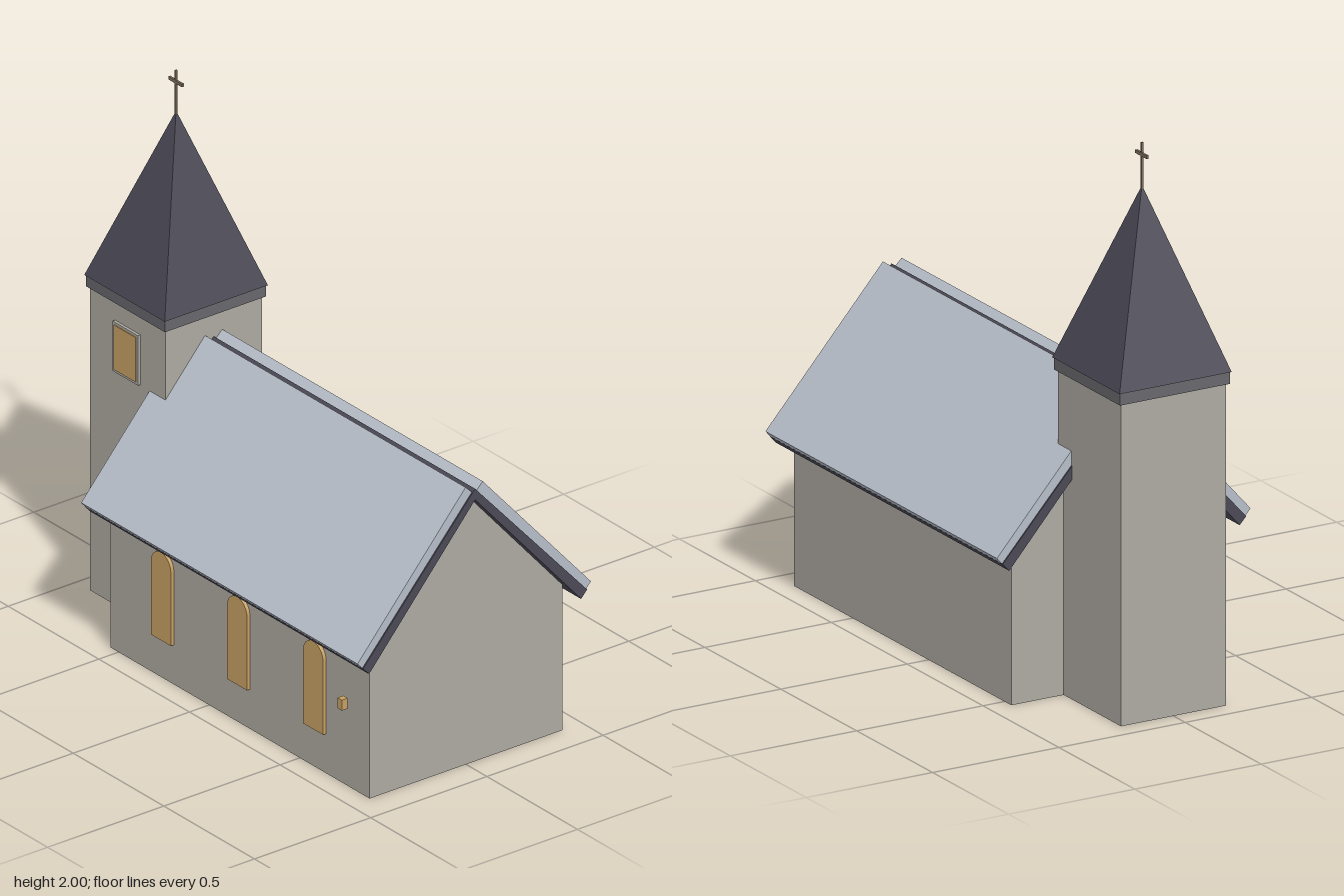
import * as THREE from 'three';

const material = (name, color) => {
  const m = new THREE.MeshStandardMaterial({ color });
  m.name = name;
  return m;
};

export function createModel() {
  const stone = material('stone wall', 0xaeaaa2);
  const slate = material('dark slate', 0x4b4a56);
  const sheet = material('pale roof', 0xb8bfca);
  const band = material('grey band', 0x68686d);
  const amber = material('amber glass', 0xc8a064);
  const wood = material('door wood', 0x96805f);
  const iron = material('cross metal', 0x80705c);

  const church = new THREE.Group();
  church.name = 'church';

  const add = (name, geometry, mat, x = 0, y = 0, z = 0) => {
    const mesh = new THREE.Mesh(geometry, mat);
    mesh.name = name;
    mesh.position.set(x, y, z);
    church.add(mesh);
    return mesh;
  };
  const box = (name, mat, w, h, d, x, y, z) =>
    add(name, new THREE.BoxGeometry(w, h, d), mat, x, y, z);

  // Extrude an outline in the x-y plane from z0 to z1
  const prism = (points, z0, z1) => {
    const shape = new THREE.Shape(points.map(([x, y]) => new THREE.Vector2(x, y)));
    const g = new THREE.ExtrudeGeometry(shape, { depth: z1 - z0, bevelEnabled: false });
    return g.translate(0, 0, z0);
  };

  // Nave with gabled ends
  add('nave', prism([[-0.415, 0], [0.415, 0], [0.415, 0.555], [0, 1.03], [-0.415, 0.555]], -0.545, 0.885), stone);

  // Roof: dark folded base with a pale sheet on each slope
  add('roofBase', prism([
    [0, 1.07], [-0.482, 0.535], [-0.456, 0.507], [0, 1.028], [0.456, 0.507], [0.482, 0.535],
  ], -0.6, 0.935), slate);
  for (const s of [1, -1]) {
    add(s > 0 ? 'leftRoofSheet' : 'rightRoofSheet', prism([
      [0.01 * s, 1.059], [0.477 * s, 0.53], [0.502 * s, 0.558], [0.037 * s, 1.085],
    ], -0.595, 0.93), sheet);
  }

  // Tower, band and pyramid spire
  const tz = -0.715;
  box('tower', stone, 0.415, 1.16, 0.415, 0, 0.58, tz);
  box('towerBand', band, 0.435, 0.045, 0.435, 0, 1.18, tz);
  const spire = new THREE.ConeGeometry(0.222 * Math.SQRT2, 0.645, 4).rotateY(Math.PI / 4).toNonIndexed();
  spire.computeVertexNormals();
  add('spire', spire, slate, 0, 1.523, tz);

  // Cross
  box('crossPost', iron, 0.008, 0.17, 0.008, 0, 1.915, tz);
  box('crossBar', iron, 0.008, 0.012, 0.075, 0, 1.957, tz);

  // Arched windows along the right wall
  const arch = new THREE.Shape();
  arch.moveTo(-0.055, 0.15);
  arch.lineTo(0.055, 0.15);
  arch.lineTo(0.055, 0.43);
  arch.absarc(0, 0.43, 0.055, 0, Math.PI, false);
  arch.closePath();
  const archGeometry = new THREE.ExtrudeGeometry(arch, { depth: 0.013, bevelEnabled: false, curveSegments: 8 });
  archGeometry.rotateY(-Math.PI / 2);
  for (const z of [-0.25, 0.17, 0.59]) add('naveWindow', archGeometry, amber, -0.415, 0, z);

  // Tower window, door and wall lamp
  box('towerWindowFrame', stone, 0.012, 0.19, 0.14, -0.2125, 0.99, tz);
  box('towerWindow', amber, 0.004, 0.17, 0.12, -0.2195, 0.99, tz);
  box('door', wood, 0.012, 0.33, 0.16, -0.2125, 0.165, tz);
  box('lamp', amber, 0.024, 0.04, 0.024, -0.465, 0.345, 0.8);

  return church;
}
